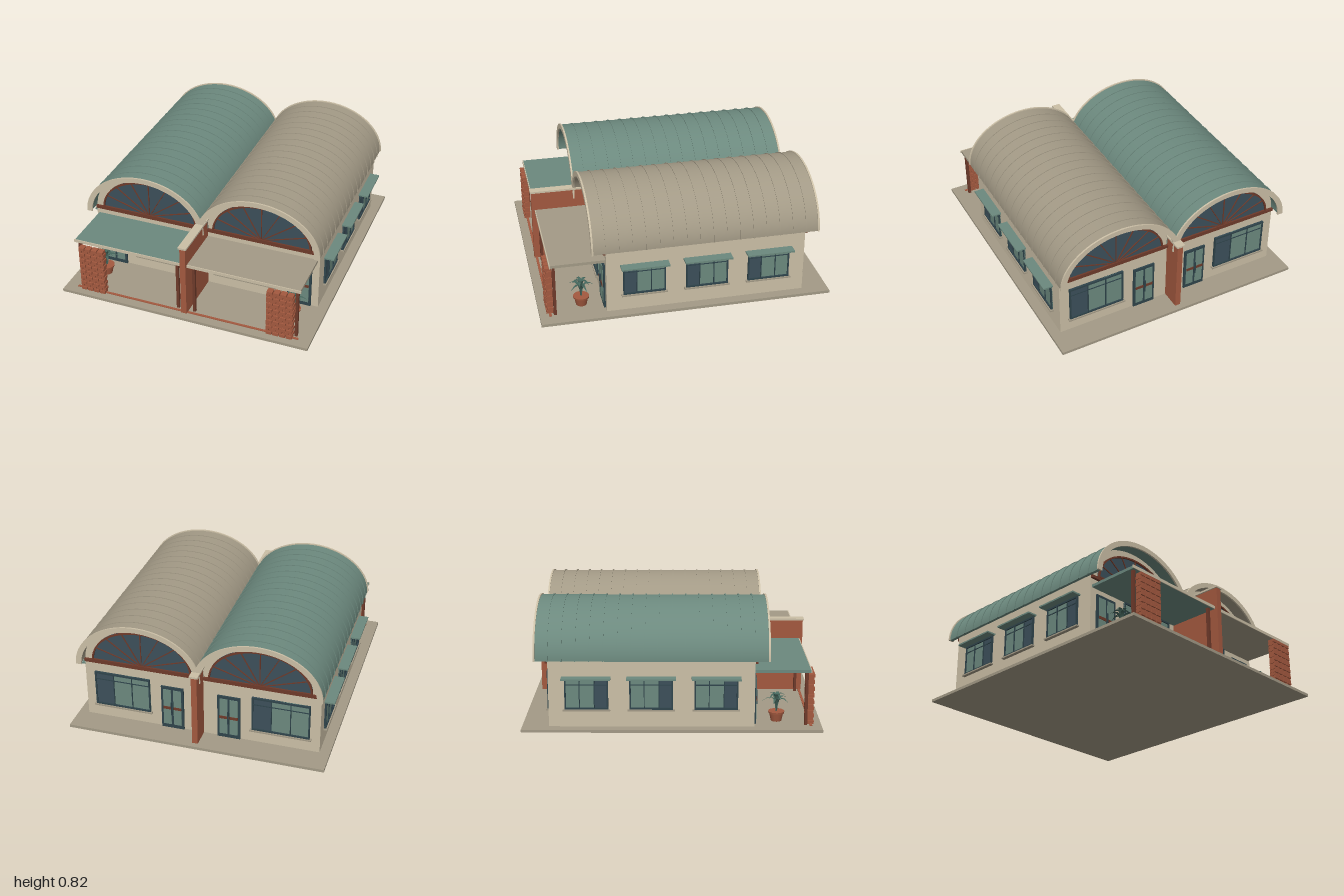
import * as THREE from 'three';
import { toCreasedNormals } from 'three/addons/utils/BufferGeometryUtils.js';

const material = (name, color, side = THREE.FrontSide) => {
  const m = new THREE.MeshStandardMaterial({ color, side });
  m.name = name;
  return m;
};

export function createModel() {
  const cream = material('cream plaster', 0xcbbfa6);
  const taupe = material('taupe', 0xa39a86);
  const teal = material('teal', 0x6c897e);
  const brick = material('brick red', 0xa3593f);
  const wood = material('dark red wood', 0x6e3a2a);
  const glass = material('dark glass', 0x3c4f5a);
  const frame = material('dark frame', 0x2f444b);
  const leaf = material('leaf green', 0x47695f, THREE.DoubleSide);

  const model = new THREE.Group();
  model.name = 'twinVaultedHall';

  const add = (parent, name, geo, mat, x = 0, y = 0, z = 0) => {
    const mesh = new THREE.Mesh(geo, mat);
    mesh.name = name;
    mesh.position.set(x, y, z);
    parent.add(mesh);
    return mesh;
  };
  // box given by its low and high corners
  const block = (parent, name, mat, x0, x1, y0, y1, z0, z1) =>
    add(parent, name, new THREE.BoxGeometry(Math.abs(x1 - x0), y1 - y0, Math.abs(z1 - z0)), mat,
      (x0 + x1) / 2, (y0 + y1) / 2, (z0 + z1) / 2);
  const group = (parent, name, x = 0, y = 0, z = 0, turn = 0) => {
    const g = new THREE.Group();
    g.name = name;
    g.position.set(x, y, z);
    g.rotation.y = turn;
    parent.add(g);
    return g;
  };

  // half ellipse, solid or hollow, extruded along z between z0 and z1
  const arch = (rx, ry, z0, z1, irx = 0, iry = 0) => {
    const s = new THREE.Shape();
    s.moveTo(rx, 0);
    s.absellipse(0, 0, rx, ry, 0, Math.PI, false, 0);
    if (irx) {
      s.lineTo(-irx, 0);
      s.absellipse(0, 0, irx, iry, Math.PI, 0, true, 0);
    }
    s.closePath();
    const geo = new THREE.ExtrudeGeometry(s, { depth: z1 - z0, bevelEnabled: false, curveSegments: 40 });
    geo.translate(0, 0, z0);
    return toCreasedNormals(geo, 0.6);
  };

  // framed window facing local +z; panes are [share of width, material]
  const addWindow = (parent, name, w, h, panes, sill) => {
    block(parent, name + 'Head', frame, -w / 2, w / 2, h / 2 - 0.012, h / 2, 0, 0.016);
    block(parent, name + 'Foot', frame, -w / 2, w / 2, -h / 2, -h / 2 + 0.012, 0, 0.016);
    block(parent, name + 'Rail', frame, -w / 2, w / 2, h * 0.27, h * 0.27 + 0.006, 0, 0.011);
    block(parent, name + 'Sill', sill, -w / 2 - 0.012, w / 2 + 0.012, -h / 2 - 0.01, -h / 2, 0, 0.025);
    let x = -w / 2;
    const bar = (c, t) => block(parent, name + 'Mullion', frame, c - t, c + t, -h / 2, h / 2, 0, 0.014);
    bar(x + 0.005, 0.005);
    panes.forEach(([share, mat], i) => {
      block(parent, name + 'Pane', mat, x, x + share * w, -h / 2, h / 2, 0, 0.007);
      x += share * w;
      if (i < panes.length - 1) bar(x, 0.003);
    });
    bar(x - 0.005, 0.005);
  };

  // glazed door facing local +z, standing on local y = 0
  const addDoor = (parent, w, h) => {
    block(parent, 'doorFrame', frame, -w / 2, w / 2, 0, h, 0, 0.012);
    for (const s of [-1, 1]) {
      block(parent, 'doorGlass', teal, s * 0.008, s * (w / 2 - 0.016), 0.03, h - 0.02, 0.01, 0.016);
      block(parent, 'doorHandle', frame, s * 0.002, s * 0.008, h * 0.35, h * 0.65, 0.012, 0.026);
    }
    block(parent, 'doorRail', wood, -w / 2 + 0.016, w / 2 - 0.016, h * 0.47, h * 0.53, 0.012, 0.02);
  };

  // semi-elliptical fan window with spokes facing local +z
  const addFan = (parent) => {
    const rx = 0.355, ry = 0.265;
    add(parent, 'fanGlass', arch(rx, ry, 0, 0.008), glass);
    add(parent, 'fanRim', arch(rx, ry, 0, 0.02, rx - 0.011, ry - 0.011), wood);
    block(parent, 'fanFoot', wood, -rx, rx, 0, 0.01, 0, 0.02);
    for (let i = 1; i < 8; i++) {
      const a = i * Math.PI / 8, px = (rx - 0.004) * Math.cos(a), py = (ry - 0.004) * Math.sin(a);
      const spoke = add(parent, 'fanSpoke', new THREE.BoxGeometry(Math.hypot(px, py), 0.006, 0.014), wood, px / 2, py / 2, 0.007);
      spoke.rotation.z = Math.atan2(py, px);
    }
  };

  // terracotta pot with arching leaves
  const addPlant = (parent) => {
    add(parent, 'pot', new THREE.CylinderGeometry(0.048, 0.036, 0.055, 16), brick, 0, 0.0275);
    add(parent, 'potRim', new THREE.CylinderGeometry(0.055, 0.053, 0.014, 16), brick, 0, 0.06);
    for (let i = 0; i < 10; i++) {
      const geo = new THREE.PlaneGeometry(1, 1, 2, 5), p = geo.attributes.position;
      const reach = i % 2 ? 0.085 : 0.055, lift = i % 2 ? 0.1 : 0.13;
      for (let k = 0; k < p.count; k++) {
        const t = p.getY(k) + 0.5, side = p.getX(k) * 0.026 * Math.sin(Math.PI * (0.12 + 0.88 * t));
        p.setXYZ(k, side, 0.065 + lift * Math.sin(t * 2.3), reach * t * t + 0.01 * t - Math.abs(side) * 0.3);
      }
      geo.computeVertexNormals();
      add(parent, 'leaf', geo, leaf).rotation.y = i * Math.PI / 5;
    }
  };

  // ground slab, brick edging and main walls
  block(model, 'groundSlab', taupe, -0.9, 0.9, 0, 0.02, -1, 1);
  block(model, 'brickEdging', brick, -0.815, 0.815, 0.02, 0.025, 0.92, 0.937);
  block(model, 'mainWalls', cream, -0.83, 0.83, 0.02, 0.475, -0.82, 0.55);
  for (const [z0, z1] of [[0.55, 0.568], [-0.838, -0.82]])
    block(model, 'gableBeam', wood, -0.828, 0.828, 0.455, 0.475, z0, z1);

  // brick party wall with cap
  block(model, 'partyWall', brick, -0.02, 0.02, 0.02, 0.545, -0.96, 0.945);
  block(model, 'partyWallCap', cream, -0.03, 0.03, 0.545, 0.558, -0.97, 0.952);

  for (const s of [-1, 1]) {
    const roofMat = s < 0 ? teal : taupe;
    const half = group(model, s < 0 ? 'rightHalf' : 'leftHalf');
    const order = (list) => (s > 0 ? list : [...list].reverse());

    // barrel roof with seams and end rims
    const vault = group(half, 'vault', s * 0.415, 0.475, 0);
    add(vault, 'gableWall', arch(0.41, 0.315, -0.82, 0.55), cream);
    add(vault, 'barrelRoof', arch(0.435, 0.338, -0.9, 0.635, 0.412, 0.316), roofMat);
    for (let i = 0; i < 16; i++) {
      const z = 0.55 - i * 0.0913;
      add(vault, 'roofSeam', arch(0.44, 0.343, z - 0.004, z + 0.004, 0.43, 0.333), roofMat);
    }
    for (const z of [0.635, -0.912])
      add(vault, 'roofRim', arch(0.442, 0.345, z, z + 0.012, 0.402, 0.31), cream);
    addFan(group(vault, 'frontFanWindow', 0, 0, 0.55));
    addFan(group(vault, 'backFanWindow', 0, 0, -0.82, Math.PI));

    // front porch: canopy, posts and open brick screen
    block(half, 'canopy', roofMat, s * 0.02, s * 0.815, 0.39, 0.41, 0.55, 0.918);
    block(half, 'canopyFascia', cream, s * 0.02, s * 0.82, 0.39, 0.411, 0.918, 0.924);
    for (const x of [0.06, 0.79])
      block(half, 'porchPost', wood, s * (x - 0.01), s * (x + 0.01), 0.02, 0.39, 0.885, 0.905);
    const screen = group(half, 'brickScreen', s * 0.685, 0.02, 0.925);
    const rows = 15, pitch = 0.35 / rows;
    for (let r = 0; r < rows; r++) {
      const shift = r % 2 ? 0.0235 : 0;
      for (let c = -1; c < 4; c++) {
        const x0 = Math.max(-0.094, -0.094 + c * 0.047 + shift + 0.002);
        const x1 = Math.min(0.094, -0.094 + (c + 1) * 0.047 + shift - 0.005);
        if (x1 - x0 > 0.01)
          block(screen, 'screenBrick', brick, x0, x1, r * pitch, (r + 0.93) * pitch, -0.02, r % 2 ? 0.02 : 0.026);
      }
    }

    // front window, door and plant
    addWindow(group(half, 'frontWindow', s * 0.3, 0.25, 0.55), 'frontWindow', 0.44, 0.27,
      order([[0.27, teal], [0.24, glass], [0.24, teal], [0.25, teal]]), taupe);
    addDoor(group(half, 'frontDoor', s * 0.695, 0.02, 0.55), 0.17, 0.33);
    addPlant(group(half, 'pottedPlant', s * 0.7, 0.02, 0.705));

    // back window and door
    addWindow(group(half, 'backWindow', s * 0.56, 0.25, -0.82, Math.PI), 'backWindow', 0.4, 0.26,
      [[0.34, glass], [0.33, teal], [0.33, teal]], taupe);
    addDoor(group(half, 'backDoor', s * 0.2, 0.02, -0.82, Math.PI), 0.16, 0.33);

    // side windows under flat awnings
    for (const z of [0.293, -0.137, -0.567]) {
      addWindow(group(half, 'sideWindow', s * 0.83, 0.25, z, s * Math.PI / 2), 'sideWindow', 0.29, 0.215,
        order([[0.32, glass], [0.34, teal], [0.34, teal]]), taupe);
      block(half, 'sideAwning', teal, s * 0.83, s * 0.9, 0.358, 0.369, z - 0.163, z + 0.163);
    }
  }
  return model;
}
